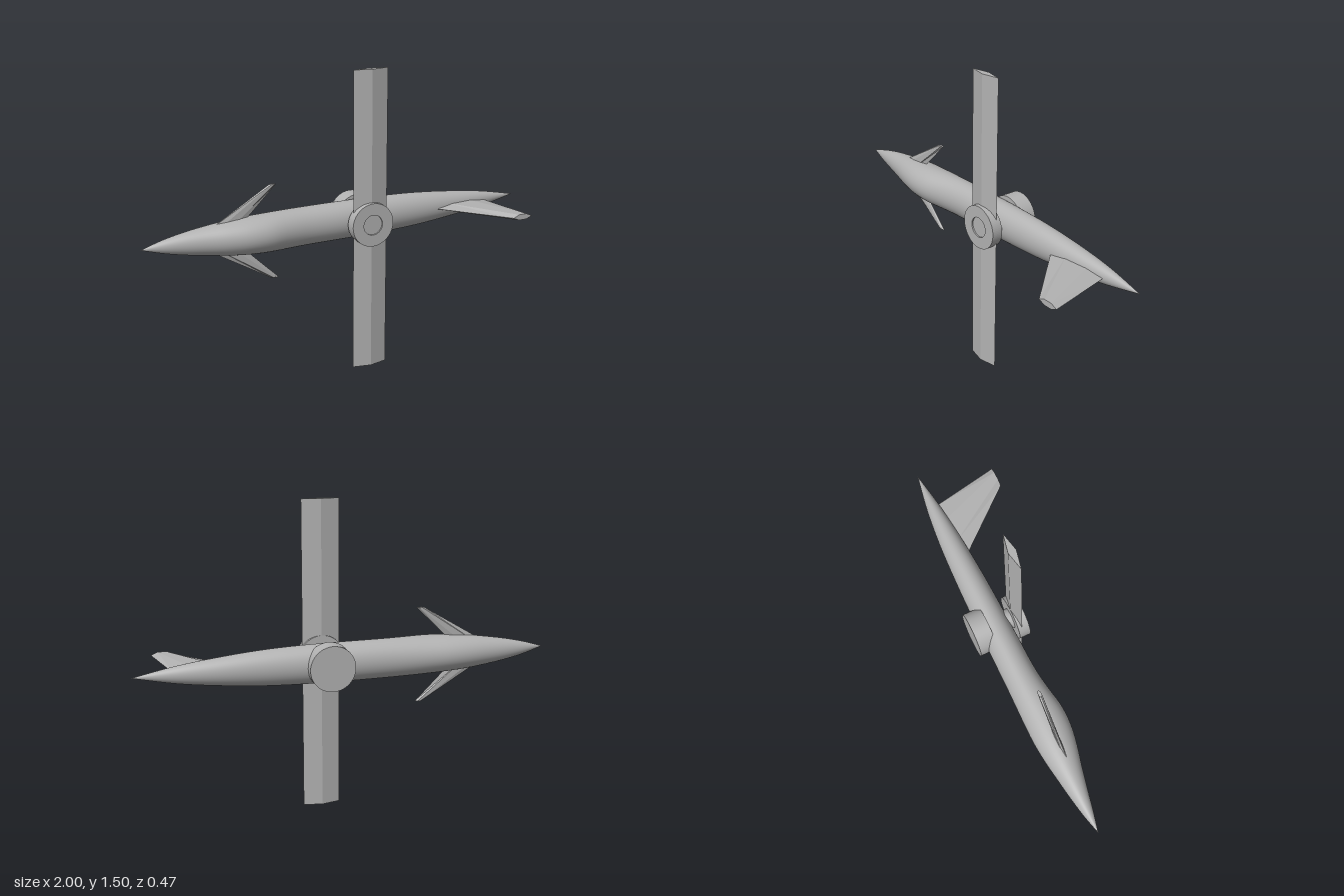
import * as THREE from 'three';

const grey = new THREE.MeshStandardMaterial({ color: 0xb2b2b2 });
grey.name = 'plain grey';

function part(name, geometry, x = 0, y = 0, z = 0, rx = 0) {
  const mesh = new THREE.Mesh(geometry, grey);
  mesh.name = name;
  mesh.position.set(x, y, z);
  mesh.rotation.x = rx;
  return mesh;
}

// Body: elliptical sections swept along x. Each station: x, z min, z max, half height
const stations = [
  [-1, -0.12, -0.12, 0], [-0.9, -0.145, -0.095, 0.03], [-0.8, -0.163, -0.073, 0.052],
  [-0.7, -0.178, -0.05, 0.068], [-0.6, -0.192, -0.024, 0.081], [-0.5, -0.2, -0.006, 0.089],
  [-0.4, -0.2, -0.005, 0.093], [-0.3, -0.198, -0.022, 0.094], [-0.2, -0.196, -0.035, 0.094],
  [0, -0.195, -0.041, 0.094], [0.2, -0.193, -0.046, 0.092], [0.4, -0.188, -0.054, 0.084],
  [0.6, -0.178, -0.068, 0.066], [0.8, -0.157, -0.09, 0.04], [1, -0.122, -0.122, 0],
];

function bodyGeometry(rings = 60, sides = 40) {
  const shape = new THREE.CubicInterpolant(
    stations.map((s) => s[0]), stations.flatMap((s) => s.slice(1)), 3);
  const positions = [], index = [];
  for (let i = 0; i <= rings; i++) {
    const x = -1 + (2 * i) / rings;
    const [back, front, h] = shape.evaluate(x);
    for (let j = 0; j < sides; j++) {
      const a = (j / sides) * Math.PI * 2;
      positions.push(x, h * Math.cos(a), (back + front) / 2 + ((front - back) / 2) * Math.sin(a));
      if (i === rings) continue;
      const p = i * sides + j, q = i * sides + ((j + 1) % sides);
      index.push(p, q, p + sides, q, q + sides, p + sides);
    }
  }
  const g = new THREE.BufferGeometry();
  g.setAttribute('position', new THREE.Float32BufferAttribute(positions, 3));
  g.setIndex(index);
  g.computeVertexNormals();
  return g;
}

// Tapered fin: chord on x, span on y, bevelled section of constant thickness on z.
// root and tip: [leading x, trailing x, y]; crests: chord fractions at full thickness
function finGeometry(root, tip, half, crests) {
  const section = [[0, 0], ...crests.map((c) => [c, half]), [1, 0],
    ...[...crests].reverse().map((c) => [c, -half])];
  const loop = ([lead, trail, y]) => section.map(([u, t]) => [lead + (trail - lead) * u, y, t]);
  const b = loop(root), t = loop(tip), n = section.length;
  const tris = [];
  for (let j = 0; j < n; j++) {
    const k = (j + 1) % n;
    tris.push(b[j], b[k], t[k], b[j], t[k], t[j]);
    if (j > 0 && j < n - 1) tris.push(t[0], t[j], t[k], b[0], b[k], b[j]);
  }
  const g = new THREE.BufferGeometry();
  g.setAttribute('position', new THREE.Float32BufferAttribute(tris.flat(), 3));
  g.computeVertexNormals();
  return g;
}

export function createModel() {
  const model = new THREE.Group();
  model.name = 'aircraft';
  const Y = 0.75, X = 0.1;

  model.add(part('body', bodyGeometry(), 0, Y));

  // Long pivoting wing with a diamond section
  model.add(part('wing', finGeometry([0.01, 0.19, 0], [0.01, 0.19, 1.5], 0.019, [0.5]), 0, 0, -0.011));

  // Front hub ring with a slightly sunken pivot
  const ring = new THREE.Shape().absarc(0, 0, 0.108, 0, Math.PI * 2);
  ring.holes.push(new THREE.Path().absarc(0, 0, 0.05, 0, Math.PI * 2, true));
  const ringGeometry = new THREE.ExtrudeGeometry(ring, { depth: 0.055, bevelEnabled: false, curveSegments: 40 });
  model.add(part('frontHub', ringGeometry, X, Y, -0.03));
  model.add(part('pivot', new THREE.CylinderGeometry(0.05, 0.05, 0.12, 32), X, Y, -0.042, Math.PI / 2));

  // Solid drum on the far side
  model.add(part('rearHub', new THREE.CylinderGeometry(0.108, 0.108, 0.083, 40), X, Y, -0.1935, Math.PI / 2));

  // Pair of swept nose fins, above and below
  const noseFin = finGeometry([-0.72, -0.55, 0.03], [-0.382, -0.345, 0.232], 0.008, [0.3, 0.7]);
  model.add(part('upperNoseFin', noseFin, 0, Y, -0.104));
  model.add(part('lowerNoseFin', noseFin, 0, Y, -0.104, Math.PI));

  // Tail fin standing out towards +z
  const tailFin = finGeometry([0.466, 0.804, -0.11], [0.767, 0.874, 0.235], 0.014, [0.3, 0.7]);
  model.add(part('tailFin', tailFin, 0, Y, 0, Math.PI / 2));

  return model;
}
